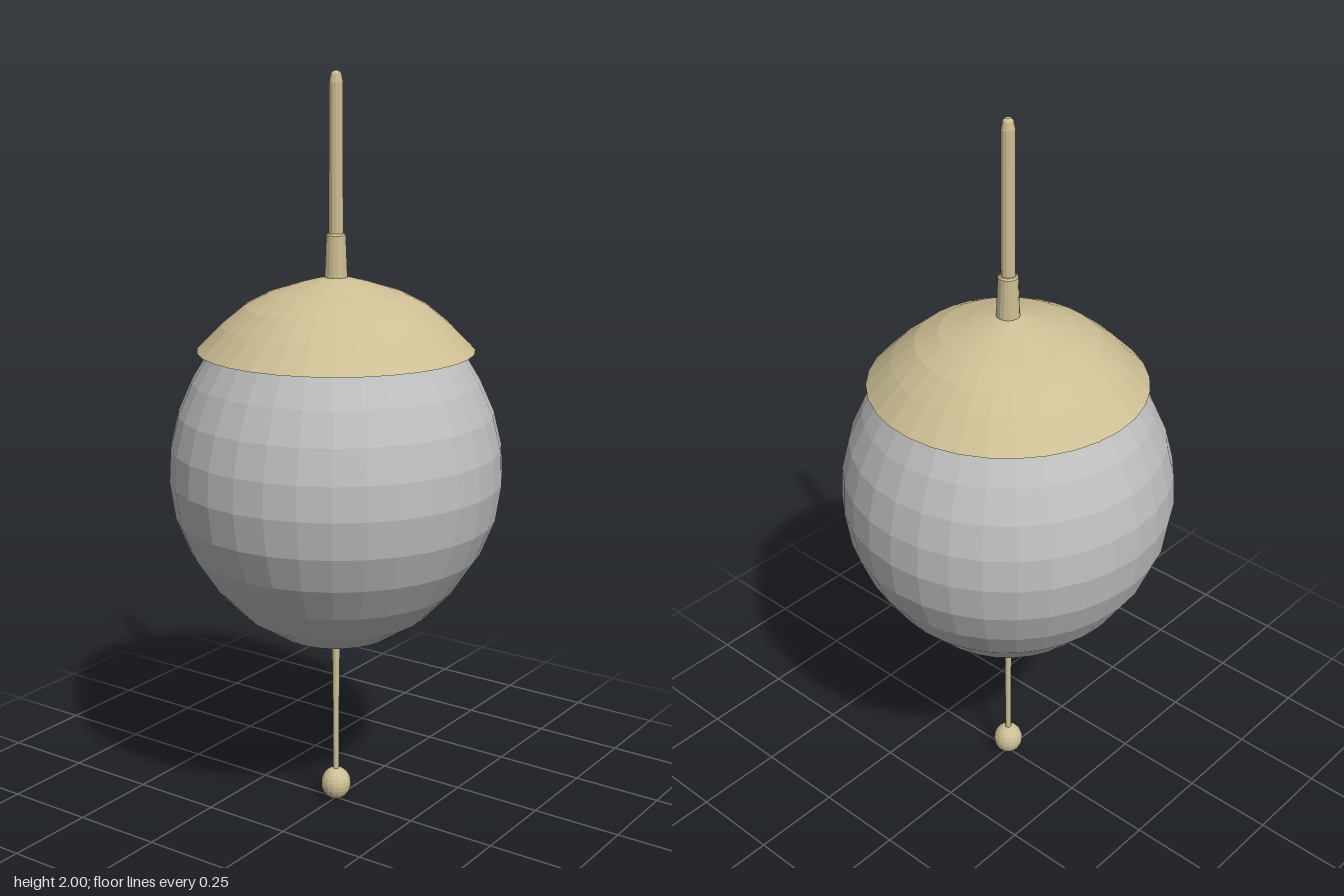
import * as THREE from 'three';

export function createModel() {
  const model = new THREE.Group();
  const brass = new THREE.MeshStandardMaterial({ color: 0xcdbf94, flatShading: true });
  brass.name = 'pale brass';
  const glass = new THREE.MeshStandardMaterial({ color: 0xbfbfbf, flatShading: true });
  glass.name = 'grey glass';

  // Turned part: [radius, height] pairs listed from the bottom up
  function turned(name, profile, sides, material) {
    const points = profile.map(([r, y]) => new THREE.Vector2(r, y));
    const mesh = new THREE.Mesh(new THREE.LatheGeometry(points, sides), material);
    mesh.name = name;
    model.add(mesh);
    return mesh;
  }

  // Globe with a flattened base, closed under the cap
  turned('globe', [
    [0, 0.497], [0.16, 0.507], [0.25, 0.565], [0.33, 0.65], [0.392, 0.745],
    [0.43, 0.84], [0.445, 0.94], [0.44, 1.03], [0.418, 1.12], [0.38, 1.205],
    [0.33, 1.287], [0, 1.295],
  ], 32, glass);

  // Domed cap with a thin underside
  turned('cap', [
    [0, 1.288], [0.366, 1.284], [0.30, 1.351], [0.24, 1.4], [0.178, 1.432],
    [0.09, 1.46], [0.03, 1.475], [0, 1.477],
  ], 32, brass);

  // Collar and hanging rod with a rounded tip
  turned('collar', [
    [0, 1.465], [0.031, 1.465], [0.026, 1.583], [0.022, 1.588], [0, 1.588],
  ], 16, brass);
  turned('hangingRod', [
    [0, 1.57], [0.019, 1.57], [0.018, 1.97], [0.014, 1.99], [0.007, 1.998], [0, 2],
  ], 12, brass);

  // Pull rod with a flared top, ending in a ball
  turned('pullRod', [
    [0, 0.06], [0.008, 0.06], [0.009, 0.3], [0.011, 0.465], [0.016, 0.478],
    [0.025, 0.492], [0.025, 0.505], [0, 0.505],
  ], 12, brass);
  const ball = new THREE.Mesh(new THREE.SphereGeometry(0.042, 16, 12), brass);
  ball.name = 'pullBall';
  ball.scale.y = 1.1;
  ball.position.y = 0.046;
  model.add(ball);

  return model;
}
